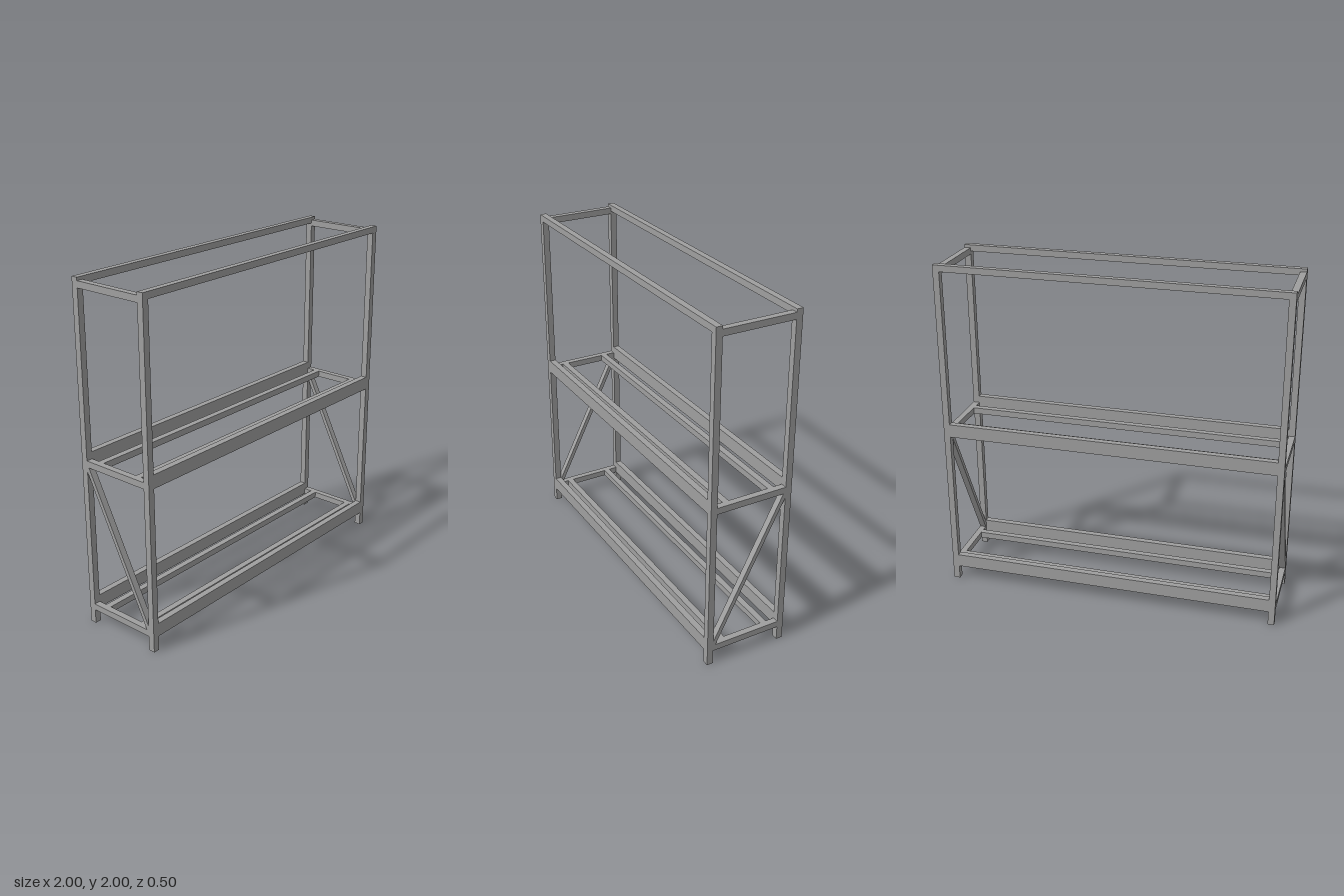
import * as THREE from 'three';

const T = 0.0375;          // tube size
const HX = 1, HZ = 0.248;  // half width and half depth
const PX = HX - T / 2, PZ = HZ - T / 2;

export function createModel() {
  const rack = new THREE.Group();
  rack.name = 'shelfRack';
  const steel = new THREE.MeshStandardMaterial({ color: 0x9f9f9f });
  steel.name = 'grey steel';

  const add = (name, geometry, x, y, z) => {
    const mesh = new THREE.Mesh(geometry, steel);
    mesh.name = name;
    mesh.position.set(x, y, z);
    rack.add(mesh);
  };
  const bar = (name, w, h, d, x, bottom, z) =>
    add(name, new THREE.BoxGeometry(w, h, d), x, bottom + h / 2, z);

  const spanX = 2 * (HX - T), spanZ = 2 * (HZ - T);
  const levels = [0.085, 0.963];

  for (const s of [-1, 1]) {
    // corner posts on this end
    for (const f of [-1, 1]) bar('post', T, 2, T, s * PX, 0, f * PZ);

    // end ties between front and back posts
    for (const y of [...levels, 1.945]) bar('endTie', T, T, spanZ, s * PX, y, 0);

    // long beams along front and back, with inner shelf rails
    bar('topBeam', spanX, T, T, 0, 2 - T, s * PZ);
    for (const y of levels) {
      bar('shelfBeam', spanX, 0.079, T, 0, y, s * PZ);
      bar('shelfRail', spanX, T, T, 0, y, s * 0.139);
    }

    // diagonal brace, low at the front and high at the back, ends cut to fit
    const z = HZ - T, low = levels[0] + T, high = levels[1];
    const shape = new THREE.Shape([
      [-z, low], [-z + 0.013, low], [z, high - 0.027],
      [z, high], [z - 0.013, high], [-z, low + 0.027],
    ].map(([a, b]) => new THREE.Vector2(a, b)));
    const brace = new THREE.ExtrudeGeometry(shape, { depth: T, bevelEnabled: false });
    brace.translate(0, 0, -T / 2).rotateY(Math.PI / 2);
    add('diagonalBrace', brace, s * PX, 0, 0);
  }
  return rack;
}
